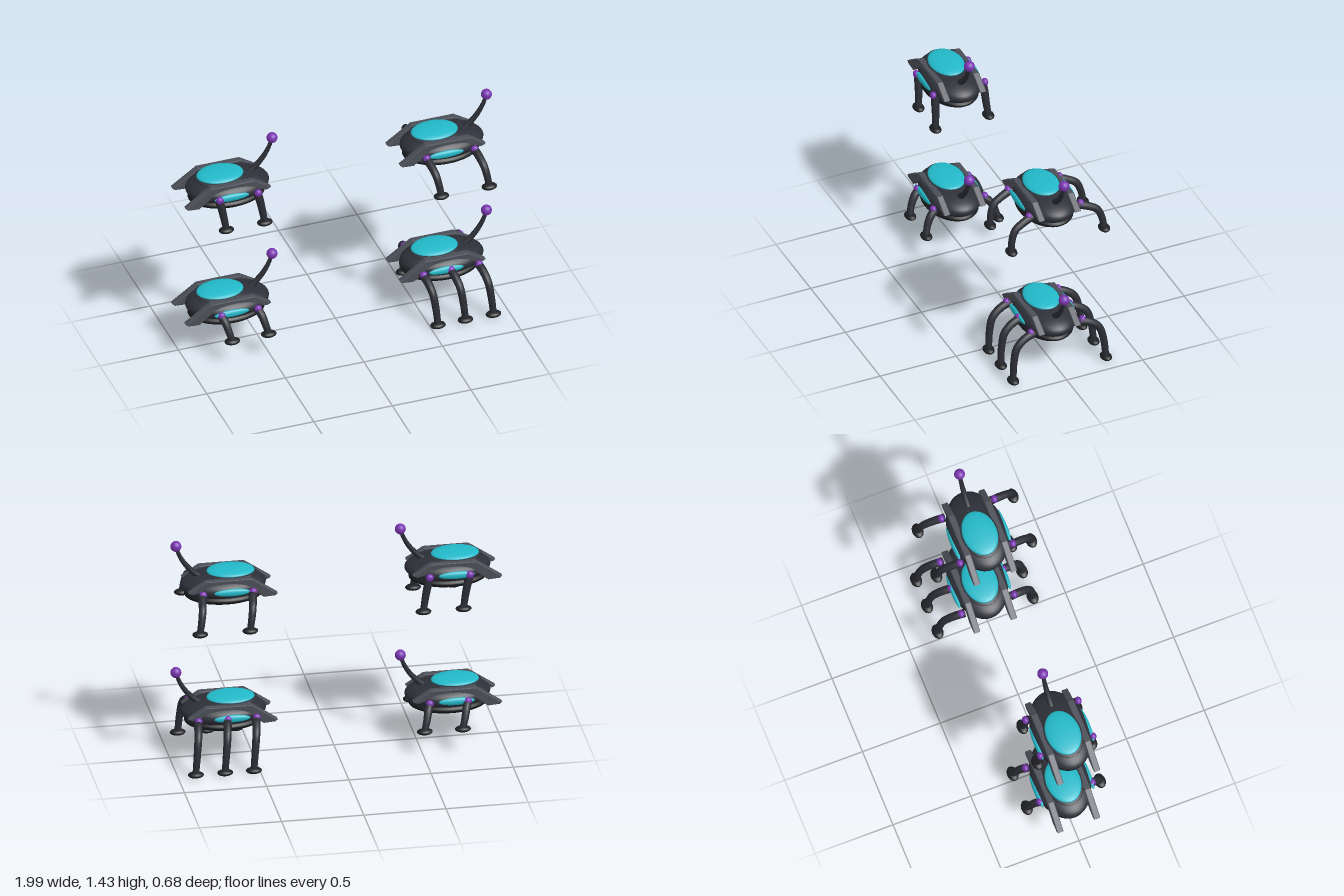
import * as THREE from 'three';

const mat = (color, side = THREE.FrontSide) => new THREE.MeshStandardMaterial({ color, side });

// Flattened sphere with its own radii
function ellipsoid(name, material, [x, y, z], [rx, ry, rz], detail = 32) {
  const mesh = new THREE.Mesh(new THREE.SphereGeometry(1, detail, detail / 2), material);
  mesh.name = name;
  mesh.position.set(x, y, z);
  mesh.scale.set(rx, ry, rz);
  return mesh;
}

// Smooth tube through points, narrowing from r0 to r1
function taperedTube(name, material, points, r0, r1) {
  const curve = new THREE.CatmullRomCurve3(points.map(p => new THREE.Vector3(...p)));
  const steps = 20, sides = 14;
  const geo = new THREE.TubeGeometry(curve, steps, 1, sides, false);
  const pos = geo.attributes.position, v = new THREE.Vector3();
  for (let i = 0; i <= steps; i++) {
    const centre = curve.getPointAt(i / steps);
    const r = r0 + (r1 - r0) * i / steps;
    for (let j = 0; j <= sides; j++) {
      const k = i * (sides + 1) + j;
      v.fromBufferAttribute(pos, k).sub(centre).multiplyScalar(r).add(centre);
      pos.setXYZ(k, v.x, v.y, v.z);
    }
  }
  const mesh = new THREE.Mesh(geo, material);
  mesh.name = name;
  return mesh;
}

// Angled armour rail, extruded across z
function railGeometry() {
  const outline = [
    [-0.31, 0.262], [-0.295, 0.25], [-0.225, 0.245], [-0.13, 0.315], [0.1, 0.32],
    [0.205, 0.29], [0.233, 0.303], [0.125, 0.372], [-0.15, 0.372],
  ].map(p => new THREE.Vector2(...p));
  const geo = new THREE.ExtrudeGeometry(new THREE.Shape(outline), {
    depth: 0.03, bevelEnabled: true, bevelThickness: 0.005, bevelSize: 0.005, bevelOffset: -0.005, bevelSegments: 2,
  });
  return geo.translate(0, 0, -0.015);
}

// One walker: hips = leg x positions, path = [z, y] points from hip to ankle
function createWalker({ hips, path, stride }, m, railGeo) {
  const walker = new THREE.Group();
  walker.add(
    ellipsoid('body', m.body, [0, 0.3, 0], [0.26, 0.082, 0.172], 48),
    ellipsoid('belly', m.belly, [-0.005, 0.24, 0], [0.24, 0.047, 0.163], 48),
    ellipsoid('canopyRim', m.body, [-0.045, 0.366, 0], [0.162, 0.02, 0.118], 48),
    ellipsoid('canopy', m.glass, [-0.046, 0.376, 0], [0.145, 0.026, 0.104], 48),
  );

  // Tail antenna with ball tip
  walker.add(
    taperedTube('antenna', m.leg, [[0.135, 0.345, 0], [0.185, 0.386, 0], [0.235, 0.445, 0], [0.268, 0.505, 0], [0.284, 0.555, 0]], 0.02, 0.011),
    ellipsoid('antennaTip', m.joint, [0.286, 0.56, 0], [0.033, 0.033, 0.033], 24),
  );

  for (const s of [-1, 1]) {
    const rail = new THREE.Mesh(railGeo, m.rail);
    rail.name = 'rail';
    rail.position.z = s * 0.118;
    walker.add(rail, ellipsoid('sideWindow', m.glass, [-0.028, 0.303, s * 0.163], [0.11, 0.024, 0.016]));

    for (const x of hips) {
      const leg = new THREE.Group();
      leg.name = 'leg';
      const [ankleZ, ankleY] = path[path.length - 1];
      const points = path.map(([z, y], i) => [x + stride * i / (path.length - 1), y, s * z]);
      leg.add(
        ellipsoid('hipJoint', m.joint, [x, 0.302, s * 0.17], [0.024, 0.024, 0.02], 20),
        taperedTube('limb', m.leg, points, 0.026, 0.02),
        ellipsoid('foot', m.foot, [x + stride, ankleY - 0.005, s * ankleZ], [0.048, 0.019, 0.034], 24),
      );
      walker.add(leg);
    }
  }
  return walker;
}

export function createModel() {
  const group = new THREE.Group();
  const m = {
    body: mat(0x2d2f38), belly: mat(0x17181b), rail: mat(0x4b4e57), glass: mat(0x22b8c8),
    joint: mat(0x7a35b0), leg: mat(0x2a2c33, THREE.DoubleSide), foot: mat(0x1c1d20),
  };
  const railGeo = railGeometry();

  // Four walkers in a two by two arrangement, each with its own stance
  const walkers = [
    { name: 'shortLegWalker', at: [-0.69, 0], hips: [-0.095, 0.137], stride: 0.043,
      path: [[0.16, 0.295], [0.195, 0.265], [0.222, 0.21], [0.235, 0.158]] },
    { name: 'straightLegWalker', at: [-0.69, 0.835], hips: [-0.107, 0.137], stride: 0.04,
      path: [[0.155, 0.295], [0.162, 0.24], [0.166, 0.17], [0.174, 0.09]] },
    { name: 'wideLegWalker', at: [0.675, 0.835], hips: [-0.154, 0.151], stride: 0.043,
      path: [[0.15, 0.295], [0.21, 0.275], [0.27, 0.24], [0.296, 0.18], [0.305, 0.115]] },
    { name: 'sixLegWalker', at: [0.675, 0], hips: [-0.175, 0, 0.178], stride: 0.042,
      path: [[0.15, 0.295], [0.215, 0.275], [0.27, 0.23], [0.295, 0.14], [0.305, 0.024]] },
  ];
  for (const w of walkers) {
    const walker = createWalker(w, m, railGeo);
    walker.name = w.name;
    walker.position.set(w.at[0], w.at[1], 0);
    group.add(walker);
  }
  return group;
}
